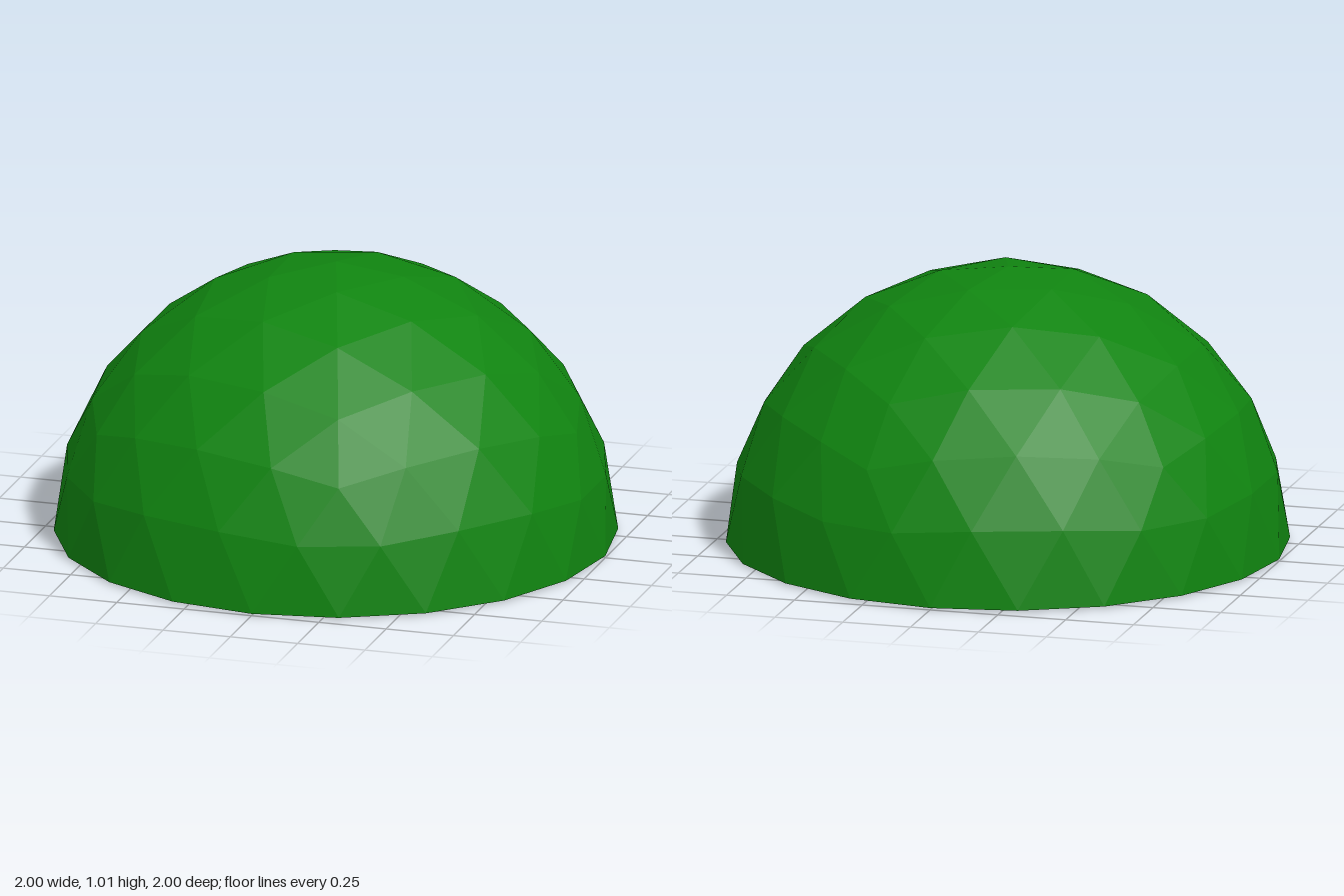
import * as THREE from 'three';

const BASE = 0.007;            // height of the dome rim
const HULL_H = 0.42;           // height of the hull under the dome
const FLARE = 0.6;             // how fast the hull widens with height

// Upper half of a vertex-up icosphere, four divisions per edge
function domeGeometry() {
  const points = [0, 1, 0];
  const faces = [];
  const ring = (y, offset) => {
    for (let k = 0; k < 5; k++) {
      const a = ((k + offset) * Math.PI * 2) / 5;
      points.push(Math.cos(a) * 0.8944, y, Math.sin(a) * 0.8944);
    }
  };
  ring(0.4472, 0);
  ring(-0.4472, 0.5);
  for (let k = 0; k < 5; k++) {
    const n = (k + 1) % 5;
    faces.push(0, 1 + n, 1 + k);
    faces.push(1 + k, 1 + n, 6 + k);
    faces.push(1 + n, 6 + n, 6 + k);
  }
  const full = new THREE.PolyhedronGeometry(points, faces, 1, 3);
  const p = full.attributes.position;
  const kept = [];
  for (let i = 0; i < p.count; i += 3) {
    if (p.getY(i) + p.getY(i + 1) + p.getY(i + 2) < 0.01) continue;
    for (let j = i; j < i + 3; j++) kept.push(p.getX(j), p.getY(j), p.getZ(j));
  }
  const geo = new THREE.BufferGeometry();
  geo.setAttribute('position', new THREE.Float32BufferAttribute(kept, 3));
  geo.computeVertexNormals();
  return geo;
}

// Box that widens towards its top
function hullGeometry() {
  const geo = new THREE.BoxGeometry(1.04, HULL_H, 0.52).translate(0, HULL_H / 2, 0);
  const p = geo.attributes.position;
  for (let i = 0; i < p.count; i++) {
    const s = 1 + FLARE * p.getY(i);
    p.setX(i, p.getX(i) * s);
    p.setZ(i, p.getZ(i) * s);
  }
  geo.computeVertexNormals();
  return geo;
}

export function createModel() {
  const material = (name, color) => {
    const m = new THREE.MeshStandardMaterial({ color, flatShading: true });
    m.name = name;
    return m;
  };
  const green = material('dome green', 0x108410);
  green.side = THREE.DoubleSide;
  const stone = material('hull grey brown', 0xa89292);
  const purple = material('crystal purple', 0xa010b8);

  const group = new THREE.Group();
  const add = (name, geo, mat) => {
    const mesh = new THREE.Mesh(geo, mat);
    mesh.name = name;
    group.add(mesh);
    return mesh;
  };

  add('dome', domeGeometry(), green).position.y = BASE;
  add('hull', hullGeometry(), stone);

  // Thin lip on top of the hull
  add('hullLip', new THREE.BoxGeometry(1.34, 0.03, 0.69), stone).position.y = HULL_H + 0.03;

  // Four-sided crystals on the sloping walls, pointing outwards along +z
  const crystal = new THREE.ConeGeometry(Math.SQRT1_2, 1, 4)
    .rotateY(Math.PI / 4).translate(0, 0.5, 0).rotateX(Math.PI / 2).scale(0.32, 0.285, 0.08);
  const y = 0.22;
  const walls = [
    { name: 'front', turn: 0, half: 0.26, offsets: [-0.32, 0.32] },
    { name: 'left', turn: Math.PI / 2, half: 0.52, offsets: [0] },
    { name: 'back', turn: Math.PI, half: 0.26, offsets: [-0.32, 0.32] },
    { name: 'right', turn: -Math.PI / 2, half: 0.52, offsets: [0] },
  ];
  for (const { name, turn, half, offsets } of walls) {
    for (const offset of offsets) {
      const mesh = add(name + 'Crystal', crystal, purple);
      mesh.rotation.order = 'YXZ';
      mesh.rotation.set(Math.atan(half * FLARE), turn, 0);
      mesh.position.set(offset, y, half * (1 + FLARE * y))
        .applyAxisAngle(new THREE.Vector3(0, 1, 0), turn);
    }
  }
  return group;
}
